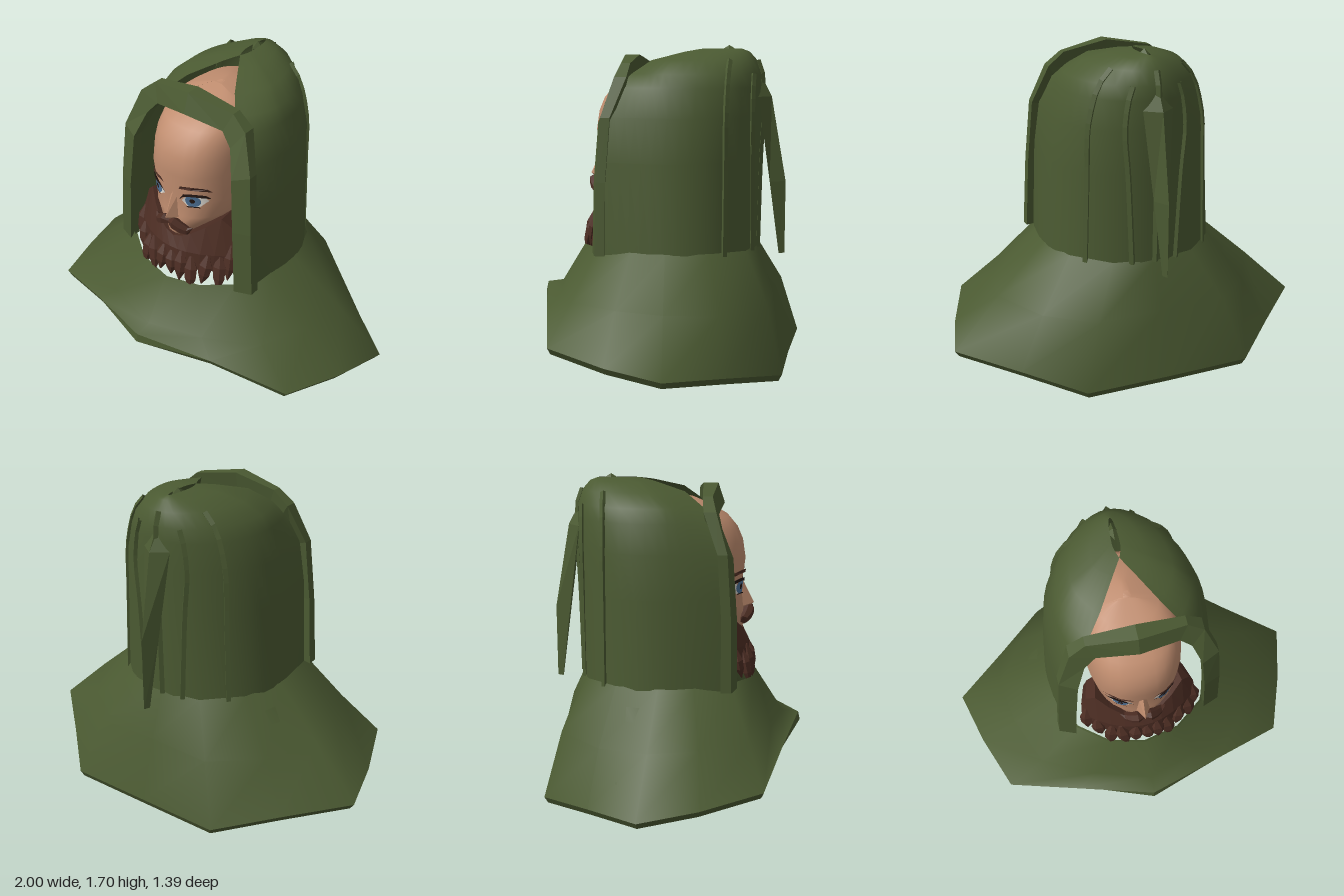
import * as THREE from 'three';
import { ConvexGeometry } from 'three/addons/geometries/ConvexGeometry.js';

const mat = (name, color, flatShading = false) =>
  new THREE.MeshStandardMaterial({ name, color, flatShading, side: THREE.DoubleSide });

// Skin a list of equally long rings; optionally close each ring and cap both ends
function loft(rings, closed = true, caps = false) {
  const n = rings[0].length, pos = rings.flat(2), idx = [];
  for (let r = 0; r < rings.length - 1; r++)
    for (let i = 0; i < (closed ? n : n - 1); i++) {
      const a = r * n + i, b = r * n + (i + 1) % n;
      idx.push(a, b, a + n, b, b + n, a + n);
    }
  if (caps) for (let i = 1; i < n - 1; i++) {
    const e = (rings.length - 1) * n;
    idx.push(0, i + 1, i, e, e + i, e + i + 1);
  }
  const g = new THREE.BufferGeometry();
  g.setAttribute('position', new THREE.Float32BufferAttribute(pos, 3));
  g.setIndex(idx);
  g.computeVertexNormals();
  return g;
}

// Interpolate a table of rows by its first column
function sample(rows, v) {
  let i = 0;
  while (i < rows.length - 2 && v > rows[i + 1][0]) i++;
  const t = THREE.MathUtils.clamp((v - rows[i][0]) / (rows[i + 1][0] - rows[i][0]), 0, 1);
  return rows[i].map((a, k) => a + (rows[i + 1][k] - a) * t);
}

// Mirror a half ring (first and last points on x = 0) into a full ring
const fullRing = h => [...h, ...h.slice(1, -1).reverse().map(([x, y, z]) => [-x, y, z])];

// Head: y, half width, front z, back z
const HEAD = [
  [0.85, 0.06, 0.34, 0.0], [0.88, 0.10, 0.365, -0.1], [0.95, 0.19, 0.365, -0.2], [1.0, 0.235, 0.36, -0.28],
  [1.1, 0.25, 0.35, -0.34], [1.25, 0.255, 0.37, -0.38], [1.35, 0.25, 0.355, -0.38], [1.42, 0.245, 0.325, -0.36],
  [1.48, 0.23, 0.275, -0.33], [1.53, 0.205, 0.19, -0.3], [1.57, 0.15, 0.1, -0.27], [1.6, 0.02, -0.06, -0.12]];
const HEAD_Z = -0.02;
const headZ = (x, y) => {
  const [, w, f] = sample(HEAD, y);
  return HEAD_Z + (f - HEAD_Z) * Math.max(0, 1 - Math.abs(x / w) ** 2.5) ** 0.4;
};

// Hood: y, half width, z of widest point, back z, x and z of the front edge
const HOOD = [
  [0.62, 0.465, -0.08, -0.51, 0.40, 0.27], [1.1, 0.435, -0.08, -0.52, 0.385, 0.27],
  [1.33, 0.41, -0.1, -0.53, 0.36, 0.24], [1.48, 0.365, -0.1, -0.53, 0.30, 0.18],
  [1.55, 0.33, -0.1, -0.525, 0.225, 0.13], [1.62, 0.25, -0.15, -0.5, 0.15, 0.04],
  [1.665, 0.13, -0.2, -0.46, 0.05, -0.12], [1.68, 0.02, -0.28, -0.42, 0, -0.2]];

export function createModel() {
  const model = new THREE.Group();
  const cloth = mat('green cloth', 0x4b5a32), clothFlat = mat('green cloth trim', 0x4b5a32, true);
  const skin = mat('skin', 0xc08d6f), hair = mat('brown hair', 0x4c2d23, true);
  const dark = mat('dark lash', 0x241612), white = mat('eye white', 0xd8d4cc), blue = mat('blue iris', 0x4d7196);
  const add = (name, geo, m, parent = model) => {
    const mesh = new THREE.Mesh(geo, m);
    mesh.name = name;
    parent.add(mesh);
    return mesh;
  };

  // Hood shell with a notch open at the top front
  add('hood', loft(HOOD.map(([y, w, zc, zb, xf, zf]) => {
    const half = [];
    for (let i = 0; i < 6; i++) {
      const t = i / 6;
      half.push([xf + (w - xf) * Math.sin(t * Math.PI / 2), y, zf + (zc - zf) * t]);
    }
    for (let i = 0; i <= 10; i++) {
      const a = i / 10 * Math.PI / 2;
      half.push([w * Math.cos(a), y, zc + (zb - zc) * Math.sin(a)]);
    }
    return [...half, ...half.slice(0, -1).reverse().map(([x, yy, z]) => [-x, yy, z])];
  }), false), cloth);

  // Shoulder cape: half rings for neck, middle and hem
  const neck = [[0, 0.62, 0.44], [0.2, 0.635, 0.40], [0.36, 0.645, 0.28], [0.45, 0.645, 0.08],
    [0.465, 0.645, -0.1], [0.4, 0.645, -0.32], [0.22, 0.635, -0.48], [0, 0.63, -0.51]];
  const middle = [[0, 0.385, 0.59], [0.3, 0.39, 0.5], [0.59, 0.4, 0.36], [0.7, 0.4, 0.1],
    [0.74, 0.4, -0.15], [0.58, 0.37, -0.4], [0.35, 0.38, -0.61], [0, 0.38, -0.6]];
  const hem = [[0, 0.37, 0.68], [0.4, 0.32, 0.555], [0.8, 0.22, 0.42], [0.92, 0.175, 0.1],
    [1, 0.15, -0.2], [0.72, 0.1, -0.45], [0.45, 0.05, -0.7], [0, 0.04, -0.69]];
  const inset = (h, s, dy) => h.map(([x, y, z]) => [x * s, y + dy, z * s]);
  const lip = inset(hem, 0.975, -0.035);
  lip[0] = [0, 0.325, 0.69];
  add('cape', loft([neck, middle, hem].map(fullRing)), cloth);
  add('capeHem', loft([hem, lip].map(fullRing)), clothFlat);
  add('capeLining', loft([lip, inset(middle, 0.96, -0.03), inset(neck, 0.97, -0.01)].map(fullRing)), cloth);

  // Arched trim round the face: outer x, y, inner x, y, back z, front z
  const arch = [[0.455, 0.62, 0.365, 0.62, 0.22, 0.31], [0.435, 1.0, 0.345, 1.0, 0.22, 0.305],
    [0.41, 1.33, 0.32, 1.3, 0.2, 0.285], [0.335, 1.535, 0.27, 1.44, 0.13, 0.23],
    [0.25, 1.605, 0.21, 1.51, 0.13, 0.215], [0, 1.65, 0, 1.545, 0.14, 0.255]];
  const archRing = s => ([xo, yo, xi, yi, zb, zf]) =>
    [[s * xo, yo, zb], [s * xo, yo, zf - 0.035], [s * xi, yi, zf], [s * xi, yi, zb + 0.02]];
  add('hoodTrim', loft([...arch.map(archRing(1)), ...arch.slice(0, -1).reverse().map(archRing(-1))], true, true), clothFlat);

  // Raised seams down the back
  const seam = (z, side, top) => {
    const pts = HOOD.slice(0, top).map(([y, w, zc, zb]) => {
      const q = (z - zc) / (zb - zc);
      return new THREE.Vector3(side * w * Math.sqrt(Math.max(0, 1 - q * q)), y, side ? z : zb);
    });
    add('backSeam', new THREE.TubeGeometry(new THREE.CatmullRomCurve3(pts), 14, 0.017, 4), clothFlat);
  };
  for (const s of [-1, 1]) { seam(-0.38, s, 6); seam(-0.495, s, 5); }
  seam(-0.5, 0, 6);

  // Hanging point behind: y, outer z, inner z, half width
  add('hoodTail', loft([[1.62, -0.48, -0.46, 0.012], [1.43, -0.58, -0.52, 0.08], [0.98, -0.66, -0.58, 0.045],
    [0.59, -0.66, -0.63, 0.015]].map(([y, zo, zi, w]) => [[w, y, zi], [0, y, zo], [-w, y, zi]]), true, true), clothFlat);

  // Small pinch on the crown
  const pinch = add('crownPinch', new THREE.ConeGeometry(0.03, 0.03, 4), clothFlat);
  pinch.position.set(0, 1.685, -0.35);
  pinch.scale.z = 1.6;

  // Head
  add('head', loft(HEAD.map(([y, w, f, b]) => {
    const ring = [];
    for (let i = 0; i < 32; i++) {
      const a = i / 32 * Math.PI * 2, c = Math.cos(a), s = Math.sin(a);
      const d = s > 0 ? f - HEAD_Z : HEAD_Z - b;
      ring.push([w * Math.sign(c) * Math.abs(c) ** 0.8, y, HEAD_Z + d * Math.sign(s) * Math.abs(s) ** 0.8]);
    }
    return ring;
  }), true, true), skin);
  add('nose', new ConvexGeometry([[0, 1.14, 0.35], [0, 1.0, 0.42], [0.04, 0.985, 0.35], [-0.04, 0.985, 0.35],
    [0, 0.965, 0.37], [0.025, 1.13, 0.33], [-0.025, 1.13, 0.33]].map(p => new THREE.Vector3(...p))), skin);

  // Painted eye and brow plates that follow the face
  const patch = (name, pts, m, off, parent) => {
    const g = new THREE.ShapeGeometry(new THREE.Shape(pts.map(p => new THREE.Vector2(...p))));
    const p = g.attributes.position;
    for (let i = 0; i < p.count; i++) p.setZ(i, headZ(p.getX(i), p.getY(i)) + off);
    g.computeVertexNormals();
    add(name, g, m, parent);
  };
  const disc = (x, y, r, ry) => Array.from({ length: 16 }, (_, i) =>
    [x + r * Math.cos(i * Math.PI / 8), y + ry * Math.sin(i * Math.PI / 8)]);
  for (const s of [1, -1]) {
    const eye = new THREE.Group();
    eye.name = s > 0 ? 'leftEye' : 'rightEye';
    eye.scale.x = s;
    model.add(eye);
    patch('eyeWhite', [[0.055, 1.1], [0.09, 1.075], [0.145, 1.075], [0.18, 1.11], [0.16, 1.145], [0.09, 1.145]], white, 0.005, eye);
    patch('iris', disc(0.115, 1.11, 0.037, 0.037), blue, 0.008, eye);
    patch('pupil', disc(0.115, 1.112, 0.013, 0.015), dark, 0.011, eye);
    patch('upperLash', [[0.045, 1.105], [0.075, 1.135], [0.12, 1.142], [0.165, 1.135], [0.19, 1.125],
      [0.175, 1.15], [0.12, 1.16], [0.075, 1.152]], dark, 0.013, eye);
    patch('lowerLash', [[0.085, 1.07], [0.15, 1.07], [0.145, 1.077], [0.09, 1.077]], dark, 0.011, eye);
    patch('brow', [[0.05, 1.178], [0.1, 1.183], [0.15, 1.18], [0.195, 1.165], [0.18, 1.19], [0.13, 1.203], [0.06, 1.197]], hair, 0.01, eye);
  }

  // Beard: columns across the jaw, x and top y
  const half = [[0.31, 0.87], [0.285, 0.95], [0.235, 1.0], [0.17, 0.945], [0.1, 0.895], [0.05, 0.87], [0, 0.855]];
  const columns = [...half, ...half.slice(0, -1).reverse().map(([x, y]) => [-x, y])];
  const beardZ = (x, y) => 0.37 + (0.86 - y) * 0.25 - 0.13 * (x / 0.3) ** 2;
  add('beard', loft(columns.map(([x, y]) => [[x, y, beardZ(x, y) - 0.005], [x * 1.02, 0.8, beardZ(x, 0.8) + 0.01],
    [x, 0.7, beardZ(x, 0.72)], [x * 0.95, 0.7, 0.16], [x * 0.9, y - 0.02, 0.12]]), true, true), hair);

  // Pointed locks: x, tip y, top y, tilt
  const locks = [[-0.29, 0.655, 0.86, -0.05], [-0.235, 0.635, 0.8, 0.1], [-0.175, 0.585, 0.78, -0.1], [-0.11, 0.595, 0.8, 0.15],
    [-0.045, 0.635, 0.79, -0.05], [0.02, 0.64, 0.78, 0.1], [0.075, 0.62, 0.8, 0.05], [0.135, 0.58, 0.78, 0.1],
    [0.2, 0.62, 0.8, -0.1], [0.265, 0.585, 0.81, 0.1], [0.3, 0.65, 0.86, 0.05]];
  for (const [x, tip, top, tilt] of locks) {
    const h = top - tip;
    const lock = add('beardLock', loft([[0, 0.012], [0.35, 0.042], [0.65, 0.037], [1, 0.004]].map(([t, r]) =>
      [0, 1, 2, 3, 4, 5].map(i => [r * Math.cos(i * Math.PI / 3), h * (0.5 - t), r * 0.7 * Math.sin(i * Math.PI / 3)])), true, true), hair);
    lock.position.set(x, (tip + top) / 2, beardZ(x, (tip + top) / 2));
    lock.rotation.set(-0.22, 0, tilt);
  }

  // Moustache: tapered lobes, x, y, z, radius
  for (const s of [1, -1]) {
    add('moustache', loft([[0, 0.96, 0.385, 0.016], [0.035, 0.965, 0.39, 0.032], [0.07, 0.94, 0.375, 0.03],
      [0.1, 0.925, 0.36, 0.022], [0.12, 0.945, 0.35, 0.004]].map(([x, y, z, r]) => [0, 1, 2, 3, 4, 5].map(i =>
      [s * x, y + r * Math.cos(i * Math.PI / 3), z + r * Math.sin(i * Math.PI / 3)])), true, true), hair);
  }
  return model;
}
